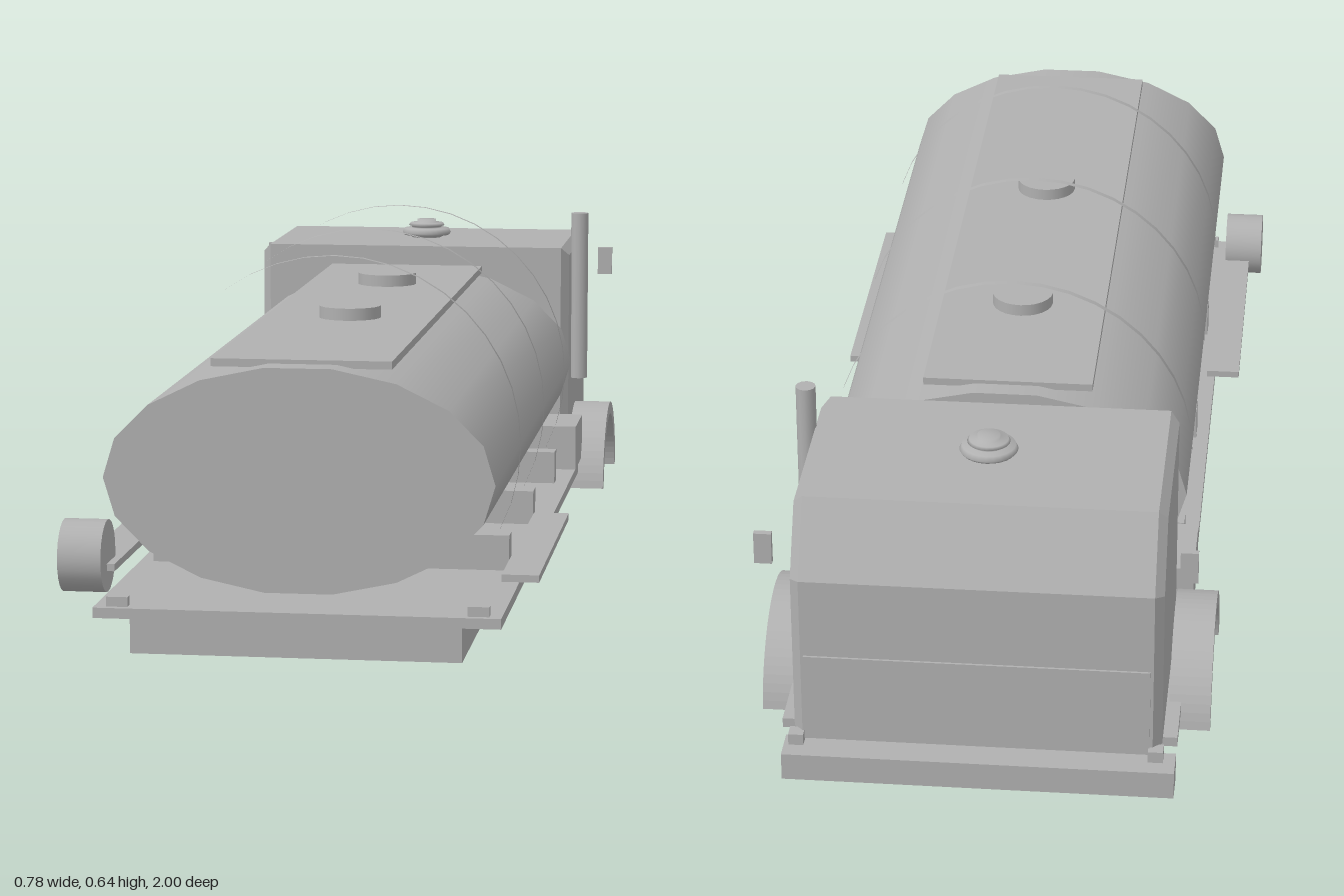
import * as THREE from 'three';

const CX = 0.012; // centreline of the truck body

export function createModel() {
  const root = new THREE.Group();
  root.name = 'tankTruckBody';
  const grey = new THREE.MeshStandardMaterial({ color: 0xb0b0b0 });
  grey.name = 'plain grey';

  const add = (name, geometry, x = 0, y = 0, z = 0) => {
    const mesh = new THREE.Mesh(geometry, grey);
    mesh.name = name;
    mesh.position.set(x, y, z);
    root.add(mesh);
    return mesh;
  };
  // Box given by its minimum and maximum on each axis
  const box = (name, x0, x1, y0, y1, z0, z1) =>
    add(name, new THREE.BoxGeometry(x1 - x0, y1 - y0, z1 - z0),
      (x0 + x1) / 2, (y0 + y1) / 2, (z0 + z1) / 2);

  // Chassis, deck and bumper
  box('chassis', -0.257, 0.28, 0.037, 0.094, -0.9, 1);
  box('deck', -0.318, 0.342, 0.093, 0.11, -0.9, 1);
  box('bumper', -0.318, 0.33, 0.057, 0.105, -1, -0.94);
  box('bumperBracket', -0.2, 0.22, 0.065, 0.1, -0.945, -0.895);

  // Oval tank with 18 sides
  const tank = new THREE.CylinderGeometry(1, 1, 1.42, 18)
    .rotateY(Math.PI / 2).rotateX(Math.PI / 2).scale(0.317, 0.185, 1);
  add('tank', tank, CX, 0.318, 0.26);
  box('walkway', -0.137, 0.157, 0.494, 0.507, -0.415, 0.92);
  for (const z of [0.38, -0.11]) {
    add('tankHatch', new THREE.CylinderGeometry(0.054, 0.054, 0.024, 24), CX, 0.516, z);
  }

  // Round straps, and the saddles the tank rests on
  for (const z of [0.57, 0.14, -0.29]) {
    const strap = new THREE.CylinderGeometry(0.318, 0.318, 0.012, 40, 1, true).rotateX(Math.PI / 2);
    add('tankStrap', strap, CX, 0.318, z);
    box('tankSaddle', -0.295, 0.315, 0.11, 0.17, z - 0.003, z + 0.037);
  }

  // Cab: side profile drawn in (-z, y), bevelled on every outer edge
  const profile = new THREE.Shape([
    [0.54, 0.11], [0.955, 0.11], [0.955, 0.41], [0.885, 0.53], [0.54, 0.53],
  ].map(([u, v]) => new THREE.Vector2(u, v)));
  const cab = new THREE.ExtrudeGeometry(profile, {
    depth: 0.58, bevelEnabled: true, bevelSegments: 1,
    bevelSize: 0.015, bevelThickness: 0.015, bevelOffset: -0.015,
  }).translate(0, 0, -0.29).rotateY(Math.PI / 2);
  add('cab', cab, 0.01);
  box('cabFrontPanel', -0.275, 0.295, 0.12, 0.27, -0.959, -0.953);

  // Round vent on the cab roof
  const vent = [[0.03, 0.525], [0.03, 0.535], [0.045, 0.535], [0.049, 0.54], [0.045, 0.548],
    [0.03, 0.549], [0.03, 0.552], [0.036, 0.554], [0.033, 0.559], [0.019, 0.56],
    [0.019, 0.566], [0, 0.566]].map(([r, y]) => new THREE.Vector2(r, y));
  add('roofVent', new THREE.LatheGeometry(vent, 24), CX, 0, -0.715);

  // Exhaust stack
  add('exhaustStack', new THREE.CylinderGeometry(0.017, 0.017, 0.33, 12), 0.33, 0.427, -0.622);

  // Paired parts along both sides
  const arch = new THREE.Shape();
  const a0 = 0.14;
  arch.absarc(0, 0, 0.17, a0, Math.PI - a0, false);
  arch.absarc(0, 0, 0.146, Math.PI - a0, a0, true);
  for (const s of [-1, 1]) {
    const pair = (name, inner, outer, ...yz) => {
      const a = CX + s * inner, b = CX + s * outer;
      return box(name, Math.min(a, b), Math.max(a, b), ...yz);
    };
    const fender = new THREE.ExtrudeGeometry(arch, { depth: 0.07, bevelEnabled: false, curveSegments: 16 })
      .translate(0, 0, -0.035).rotateY(Math.PI / 2);
    add('fender', fender, CX + s * 0.345, 0.04, -0.635);
    pair('sideLocker', 0.18, 0.335, 0.12, 0.204, -0.51, -0.355);
    pair('sidePlate', 0.318, 0.379, 0.146, 0.158, 0.32, 0.88);
    pair('mirror', 0.331, 0.36, 0.434, 0.489, -0.942, -0.931);
    pair('tailLamp', 0.275, 0.31, 0.107, 0.126, 0.97, 0.988);
    pair('bumperLug', 0.285, 0.31, 0.104, 0.125, -0.97, -0.945);
  }

  // Small drum hung at the tail on one side
  add('sideDrum', new THREE.CylinderGeometry(0.06, 0.06, 0.072, 24).rotateZ(Math.PI / 2),
    -0.355, 0.17, 0.87);

  return root;
}
